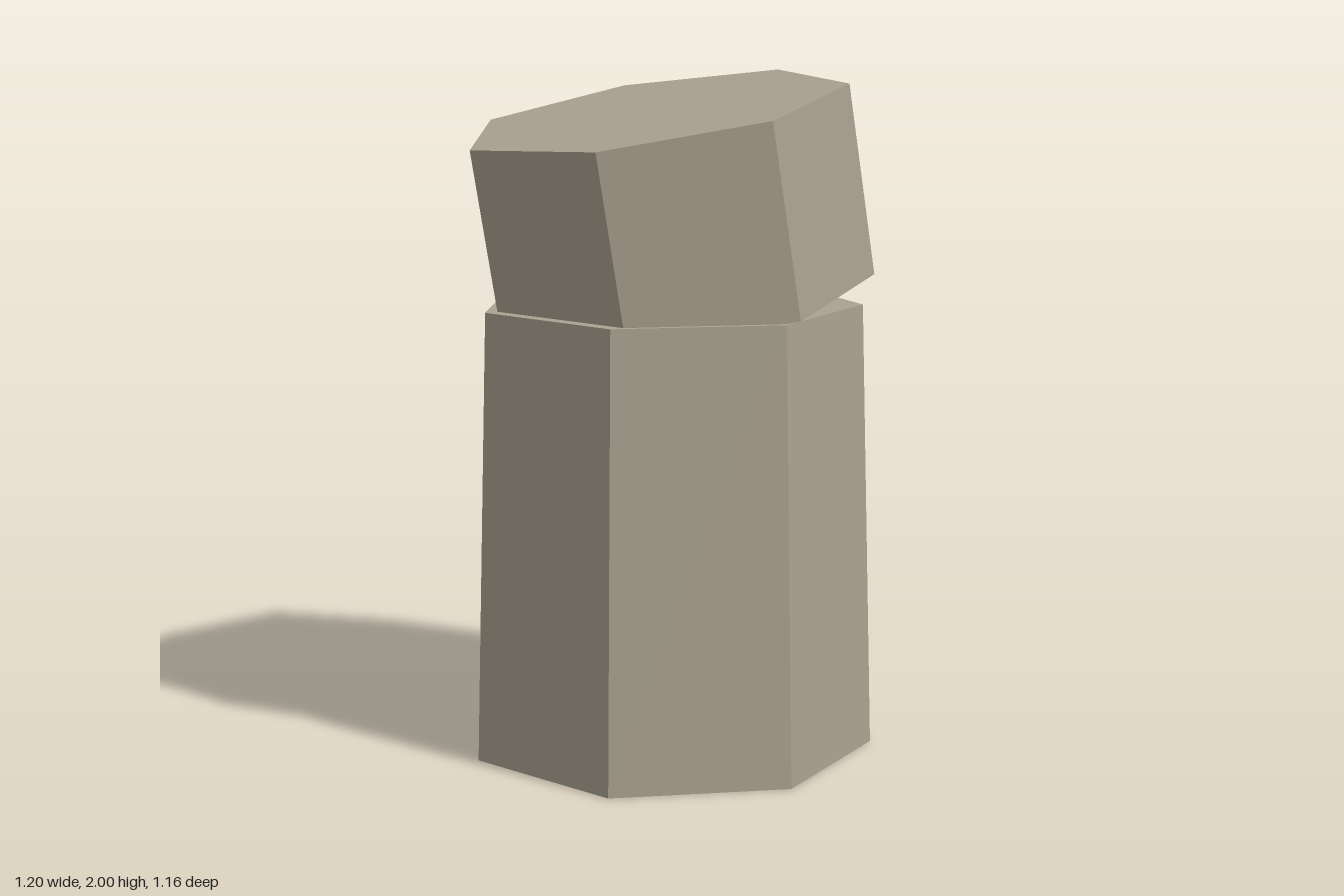
import * as THREE from 'three';

export function createModel() {
  const model = new THREE.Group();
  model.name = 'brokenColumn';

  const stone = new THREE.MeshStandardMaterial({ color: 0xaaa291, flatShading: true });
  stone.name = 'warm grey stone';

  // Seven-sided drum with one corner pointing to the front
  const drum = (name, topRadius, bottomRadius, height, y) => {
    const mesh = new THREE.Mesh(
      new THREE.CylinderGeometry(topRadius, bottomRadius, height, 7), stone);
    mesh.name = name;
    mesh.position.set(0, y, -0.03);
    model.add(mesh);
    return mesh;
  };

  // Tapered standing shaft
  drum('columnShaft', 0.571, 0.609, 1.333, 0.6665);

  // Loose upper block, tipped to one side and sunk into the shaft
  const block = drum('tiltedUpperBlock', 0.571, 0.571, 0.57, 1.62);
  block.position.x = -0.002;
  block.rotation.z = 0.18;

  return model;
}
